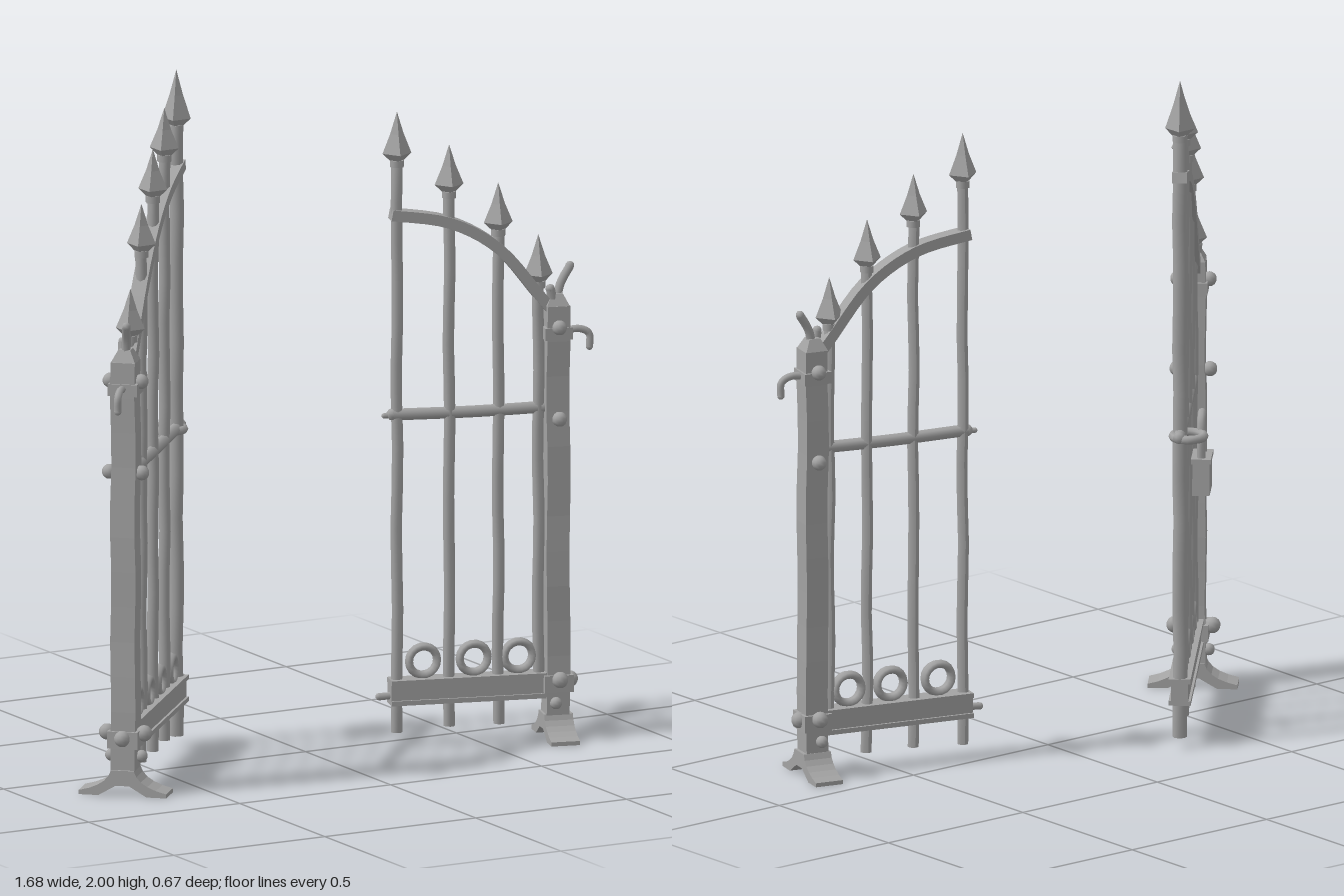
import * as THREE from 'three';

const iron = new THREE.MeshStandardMaterial({ color: 0xa3a3a3 });
iron.name = 'wornIron';

function add(group, name, geo, x = 0, y = 0, z = 0) {
  const mesh = new THREE.Mesh(geo, iron);
  mesh.name = name;
  mesh.position.set(x, y, z);
  group.add(mesh);
  return mesh;
}

function faceted(geo) {
  const g = geo.index ? geo.toNonIndexed() : geo;
  g.computeVertexNormals();
  return g;
}

// Slightly uneven, hammered surface; the offset depends only on position
function hammer(geo, amount, seed) {
  const p = geo.attributes.position;
  for (let i = 0; i < p.count; i++) {
    const y = p.getY(i);
    p.setX(i, p.getX(i) + amount * Math.sin(y * 13 + seed));
    p.setZ(i, p.getZ(i) + amount * Math.sin(y * 17 + seed * 2.3));
  }
  geo.computeVertexNormals();
  return geo;
}

function spear(group, s, tip, h) {
  const pts = [[0, 0], [0.02, 0], [0.043, 0.022], [0.02, h * 0.55], [0, h]].map(([r, y]) => new THREE.Vector2(r, y));
  add(group, 'spearHead', faceted(new THREE.LatheGeometry(pts, 4)), s, tip - h, 0);
  add(group, 'spearCollar', new THREE.CylinderGeometry(0.021, 0.021, 0.02, 8), s, tip - h - 0.008, 0);
}

function arch(group, points) {
  const curve = new THREE.SplineCurve(points.map(([x, y]) => new THREE.Vector2(x, y)));
  const top = [], bottom = [];
  for (let i = 0; i <= 20; i++) {
    const p = curve.getPoint(i / 20), t = curve.getTangent(i / 20);
    const n = new THREE.Vector2(-t.y, t.x).multiplyScalar(0.016);
    top.push(p.clone().add(n));
    bottom.unshift(p.clone().sub(n));
  }
  const geo = new THREE.ExtrudeGeometry(new THREE.Shape([...bottom, ...top]), { depth: 0.044, bevelEnabled: false });
  add(group, 'archRail', geo, 0, 0, -0.022);
}

// Rounded rod along a few points
function rod(group, name, pts, r, ends = true) {
  const v = pts.map((p) => new THREE.Vector3(...p));
  add(group, name, new THREE.TubeGeometry(new THREE.CatmullRomCurve3(v), 14, r, 7));
  if (ends) for (const p of [v[0], v[v.length - 1]]) add(group, name + 'End', new THREE.SphereGeometry(r, 7, 5), p.x, p.y, p.z);
}

// Through-bolt with a domed head on both sides of the post
function bolt(group, s, y, reach, r) {
  const shaft = add(group, 'boltShaft', new THREE.CylinderGeometry(r * 0.7, r * 0.7, reach * 2, 8), s, y, 0);
  shaft.rotation.x = Math.PI / 2;
  for (const side of [-1, 1]) add(group, 'boltHead', new THREE.SphereGeometry(r, 10, 7), s, y, side * reach);
}

function post(group, w, flare) {
  add(group, 'post', faceted(hammer(new THREE.BoxGeometry(w, 1.24, w, 1, 12, 1), 0.002, w * 50)), 0, 0.66, 0);
  add(group, 'postCap', faceted(new THREE.CylinderGeometry(w * 0.35, w * 0.707, 0.035, 4).rotateY(Math.PI / 4)), 0, 1.297, 0);
  add(group, 'postCollar', new THREE.BoxGeometry(w + 0.018, 0.05, w + 0.018), 0, 0.165, 0);
  add(group, 'hingeCollar', new THREE.BoxGeometry(w + 0.014, 0.035, w + 0.014), 0, 1.2, 0);
  // Splayed foot, wide across the gate plane
  const foot = new THREE.Shape();
  foot.moveTo(-flare, 0);
  foot.lineTo(-flare * 0.55, 0);
  foot.lineTo(-0.02, 0.03);
  foot.lineTo(0.02, 0.03);
  foot.lineTo(flare * 0.55, 0);
  foot.lineTo(flare, 0);
  foot.lineTo(flare, 0.012);
  foot.quadraticCurveTo(0.045, 0.03, 0.034, 0.075);
  foot.lineTo(-0.034, 0.075);
  foot.quadraticCurveTo(-0.045, 0.03, -flare, 0.012);
  const geo = new THREE.ExtrudeGeometry(foot, { depth: 0.085, bevelEnabled: false, curveSegments: 5 });
  geo.translate(0, 0, -0.0425).rotateY(Math.PI / 2);
  add(group, 'foot', geo);
  // Bolts at the foot, the middle rail and the top hinge
  bolt(group, 0, 0.18, 0.055, 0.024);
  bolt(group, 0.01, 0.11, 0.045, 0.018);
  bolt(group, 0, 0.95, 0.048, 0.022);
  bolt(group, 0, 1.22, 0.046, 0.022);
  add(group, 'outerBolt', new THREE.SphereGeometry(0.024, 10, 7), -w / 2 - 0.008, 0.17, 0);
  // Broken horn and drooping hook on the outer side
  rod(group, 'horn', [[0, 1.28, 0], [-0.015, 1.34, 0.006], [-0.045, 1.39, 0.012]], 0.013);
  rod(group, 'smallHorn', [[0.01, 1.28, -0.01], [0.02, 1.33, -0.014]], 0.014);
  rod(group, 'hook', [[-0.02, 1.2, 0], [-0.07, 1.205, 0], [-0.098, 1.19, 0], [-0.1, 1.15, 0]], 0.011);
}

function gate(name, o) {
  const g = new THREE.Group();
  g.name = name;
  g.position.set(o.x, 0, o.z);
  g.rotation.y = Math.atan2(-o.dir[1], o.dir[0]);
  post(g, o.postWidth, o.flare);

  // Upright bars with spear heads
  const last = o.bars.length - 1;
  o.bars.forEach(([s, tip], i) => {
    const h = i === last ? o.lastSpear : 0.14;
    const low = i === 0 ? 0.13 : i === last ? o.lastFoot : 0.05;
    const top = tip - h;
    const r = i === last ? o.lastRadius : 0.017;
    add(g, 'bar', hammer(new THREE.CylinderGeometry(r, r, top - low, 8, 14), 0.002, i * 1.7), s, (top + low) / 2, 0);
    spear(g, s, tip, h);
    // Scroll rings standing on the bottom rail
    if (i > 0) {
      const ring = add(g, 'scrollRing', new THREE.TorusGeometry(o.ring, 0.012, 7, 18), (s + o.bars[i - 1][0]) / 2, 0.205 + o.ring, 0);
      ring.scale.z = 1.5;
    }
  });

  // Rails
  const end = o.bars[last][0] + 0.022;
  arch(g, o.arch);
  const rail = o.bottomRail;
  add(g, 'bottomRail', new THREE.BoxGeometry(end, rail[1] - rail[0], 0.05), end / 2, (rail[0] + rail[1]) / 2, 0);
  for (const y of rail) add(g, 'bottomRailFlange', new THREE.BoxGeometry(end, 0.014, 0.064), end / 2, y, 0);
  rod(g, 'middleRail', [[0, o.midY, 0], [end / 2, o.midY - 0.003, 0], [o.midEnd, o.midY, 0]], 0.018);
  return g;
}

export function createModel() {
  const model = new THREE.Group();
  model.name = 'spearedGates';

  const tall = gate('tallGate', {
    x: -0.72, z: 0.22, dir: [0.676, -0.736], postWidth: 0.072, flare: 0.13,
    bars: [[0.06, 1.48], [0.2, 1.7], [0.345, 1.83], [0.49, 1.92], [0.643, 2]],
    lastSpear: 0.165, lastFoot: 0.03, lastRadius: 0.021, ring: 0.037,
    arch: [[0, 1.23], [0.06, 1.3], [0.2, 1.47], [0.345, 1.595], [0.49, 1.67], [0.668, 1.715]],
    bottomRail: [0.135, 0.2], midY: 0.94, midEnd: 0.69,
  });

  // Padlock hung behind the free end
  const lock = new THREE.Group();
  lock.name = 'padlock';
  lock.position.set(0.595, 0, -0.06);
  lock.rotation.z = 0.02;
  add(lock, 'lockBody', new THREE.BoxGeometry(0.115, 0.105, 0.05), 0, 0.803, 0);
  add(lock, 'lockRim', new THREE.BoxGeometry(0.123, 0.014, 0.058), 0, 0.853, 0);
  rod(lock, 'shackle', [[-0.036, 0.85, 0], [-0.038, 0.93, 0], [-0.026, 0.972, 0], [0, 0.986, 0],
    [0.026, 0.972, 0], [0.038, 0.93, 0], [0.036, 0.85, 0]], 0.013);
  tall.add(lock);
  // Hasp loop linking the end bar and the shackle
  const hasp = add(tall, 'haspLoop', new THREE.TorusGeometry(0.045, 0.013, 7, 18), 0.65, 0.935, -0.025);
  hasp.rotation.x = Math.PI / 2;
  model.add(tall);

  const short = gate('shortGate', {
    x: 0.725, z: 0.185, dir: [-0.963, -0.27], postWidth: 0.068, flare: 0.122,
    bars: [[0.052, 1.49], [0.171, 1.65], [0.317, 1.77], [0.472, 1.875]],
    lastSpear: 0.145, lastFoot: 0.04, lastRadius: 0.017, ring: 0.042,
    arch: [[0, 1.25], [0.05, 1.31], [0.171, 1.455], [0.317, 1.54], [0.49, 1.572]],
    bottomRail: [0.13, 0.19], midY: 0.98, midEnd: 0.485,
  });
  // Broken latch pins at the free end
  rod(short, 'latchPin', [[0.47, 0.15, 0], [0.525, 0.147, 0]], 0.011);
  rod(short, 'railPin', [[0.47, 0.978, 0], [0.51, 0.977, 0]], 0.008);
  model.add(short);
  return model;
}
